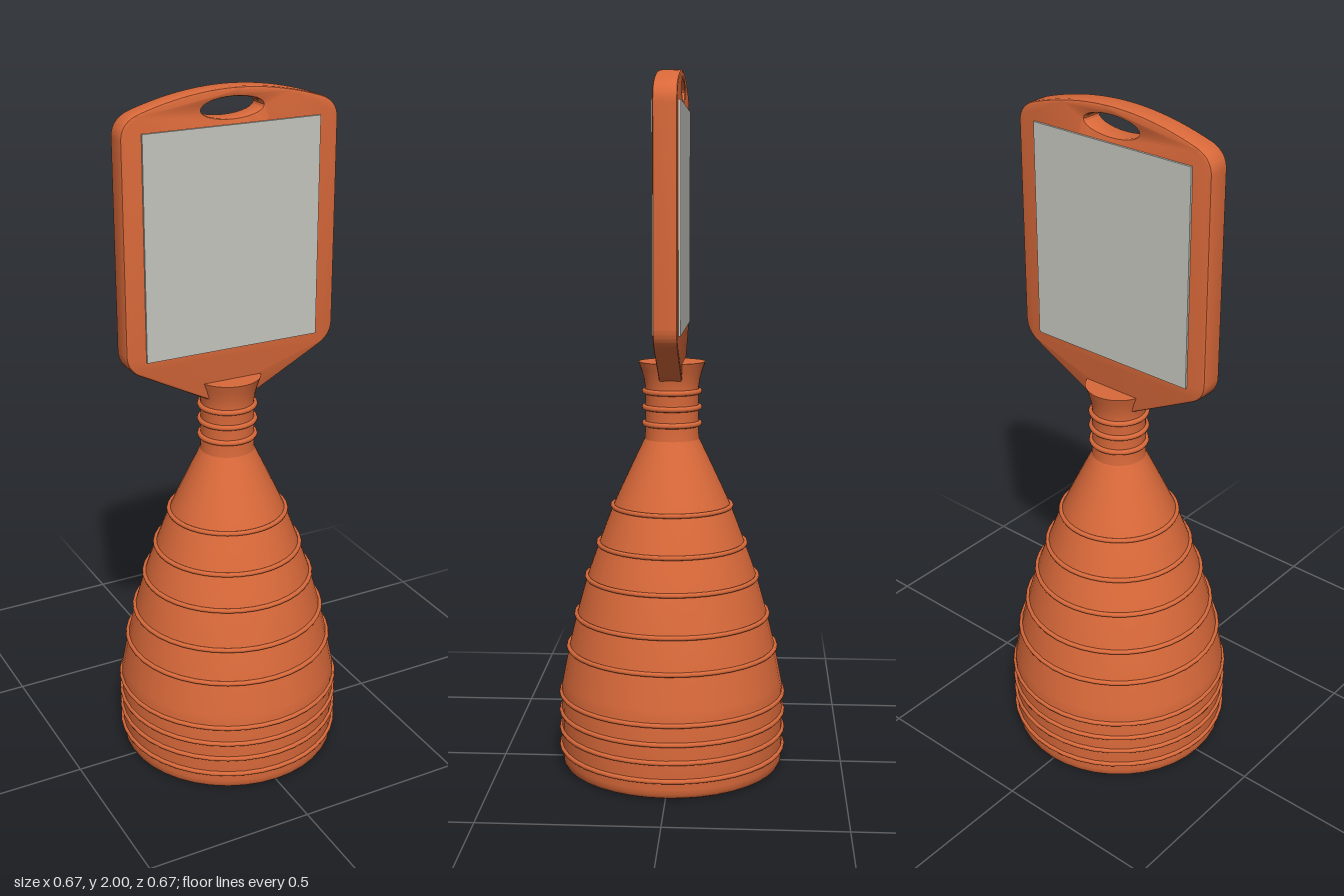
import * as THREE from 'three';
import { toCreasedNormals } from 'three/addons/utils/BufferGeometryUtils.js';

const SEGMENTS = 40;

export function createModel() {
  const group = new THREE.Group();
  const orange = new THREE.MeshStandardMaterial({ color: 0xd9693a });
  orange.name = 'orange plastic';
  const grey = new THREE.MeshStandardMaterial({ color: 0xc5c6be });
  grey.name = 'grey panel';

  const add = (name, geometry, material, parent = group) => {
    const mesh = new THREE.Mesh(geometry, material);
    mesh.name = name;
    parent.add(mesh);
    return mesh;
  };
  const lathe = (points) => toCreasedNormals(
    new THREE.LatheGeometry(points, SEGMENTS).toNonIndexed(), 0.6);
  const vec = ([x, y]) => new THREE.Vector2(x, y);

  // Tapering body: straight foot, then a smooth shoulder up to the neck
  const taper = [[0.325, 0.235], [0.302, 0.35], [0.278, 0.45], [0.247, 0.56],
    [0.212, 0.66], [0.17, 0.77], [0.122, 0.875], [0.079, 0.965]].map(vec);
  const taperPoints = new THREE.SplineCurve(taper).getPoints(28);
  const radiusAt = (y) => {
    const i = taperPoints.findIndex((p) => p.y >= y);
    if (i <= 0) return 0.325;
    const a = taperPoints[i - 1], b = taperPoints[i];
    return THREE.MathUtils.lerp(a.x, b.x, (y - a.y) / (b.y - a.y));
  };
  const foot = [[0, 0], [0.309, 0], [0.318, 0.005], [0.323, 0.015], [0.325, 0.03]].map(vec);
  add('body', lathe([...foot, ...taperPoints]), orange);

  // Neck with a flared, closed lip
  add('neck', lathe([[0.079, 0.965], [0.077, 0.99], [0.077, 1.115], [0.081, 1.14],
    [0.088, 1.165], [0.096, 1.188], [0, 1.188]].map(vec)), orange);

  // Raised rings around the body and the neck
  const rings = new THREE.Group();
  rings.name = 'rings';
  group.add(rings);
  const addRing = (name, radius, y, tube) => {
    const geometry = new THREE.TorusGeometry(radius, tube, 8, SEGMENTS);
    geometry.rotateX(Math.PI / 2);
    add(name, geometry, orange, rings).position.y = y;
  };
  for (const y of [0.055, 0.108, 0.16, 0.215]) addRing('footRing', 0.326, y, 0.007);
  for (const y of [0.353, 0.45, 0.562, 0.66, 0.77]) addRing('bodyRing', radiusAt(y) + 0.002, y, 0.007);
  for (const y of [1.01, 1.057, 1.103]) addRing('neckRing', 0.079, y, 0.008);

  // Sign board with an arched top, a tapered foot and an oval grip hole
  const board = new THREE.Shape();
  board.moveTo(-0.075, 1.137);
  board.lineTo(0.075, 1.137);
  board.lineTo(0.28, 1.243);
  board.quadraticCurveTo(0.322, 1.265, 0.322, 1.31);
  board.lineTo(0.322, 1.89);
  board.quadraticCurveTo(0.322, 1.94, 0.265, 1.957);
  board.quadraticCurveTo(0.13, 2, 0, 2);
  board.quadraticCurveTo(-0.13, 2, -0.265, 1.957);
  board.quadraticCurveTo(-0.322, 1.94, -0.322, 1.89);
  board.lineTo(-0.322, 1.31);
  board.quadraticCurveTo(-0.322, 1.265, -0.28, 1.243);
  board.closePath();
  const hole = new THREE.Path();
  hole.absellipse(0, 1.947, 0.092, 0.028, 0, Math.PI * 2, true);
  board.holes.push(hole);
  const bevel = 0.007;
  const halfDepth = 0.033;
  const boardGeometry = new THREE.ExtrudeGeometry(board, {
    depth: 2 * (halfDepth - bevel), curveSegments: 14, bevelEnabled: true,
    bevelThickness: bevel, bevelSize: bevel, bevelOffset: -bevel, bevelSegments: 2,
  });
  boardGeometry.translate(0, 0, bevel - halfDepth);
  add('signBoard', toCreasedNormals(boardGeometry, 0.5), orange);

  // Thin grey panels on both faces
  for (const [name, side] of [['frontPanel', 1], ['backPanel', -1]]) {
    const panel = add(name, new THREE.BoxGeometry(0.528, 0.622, 0.008), grey);
    panel.position.set(0, 1.593, side * 0.035);
  }

  return group;
}
